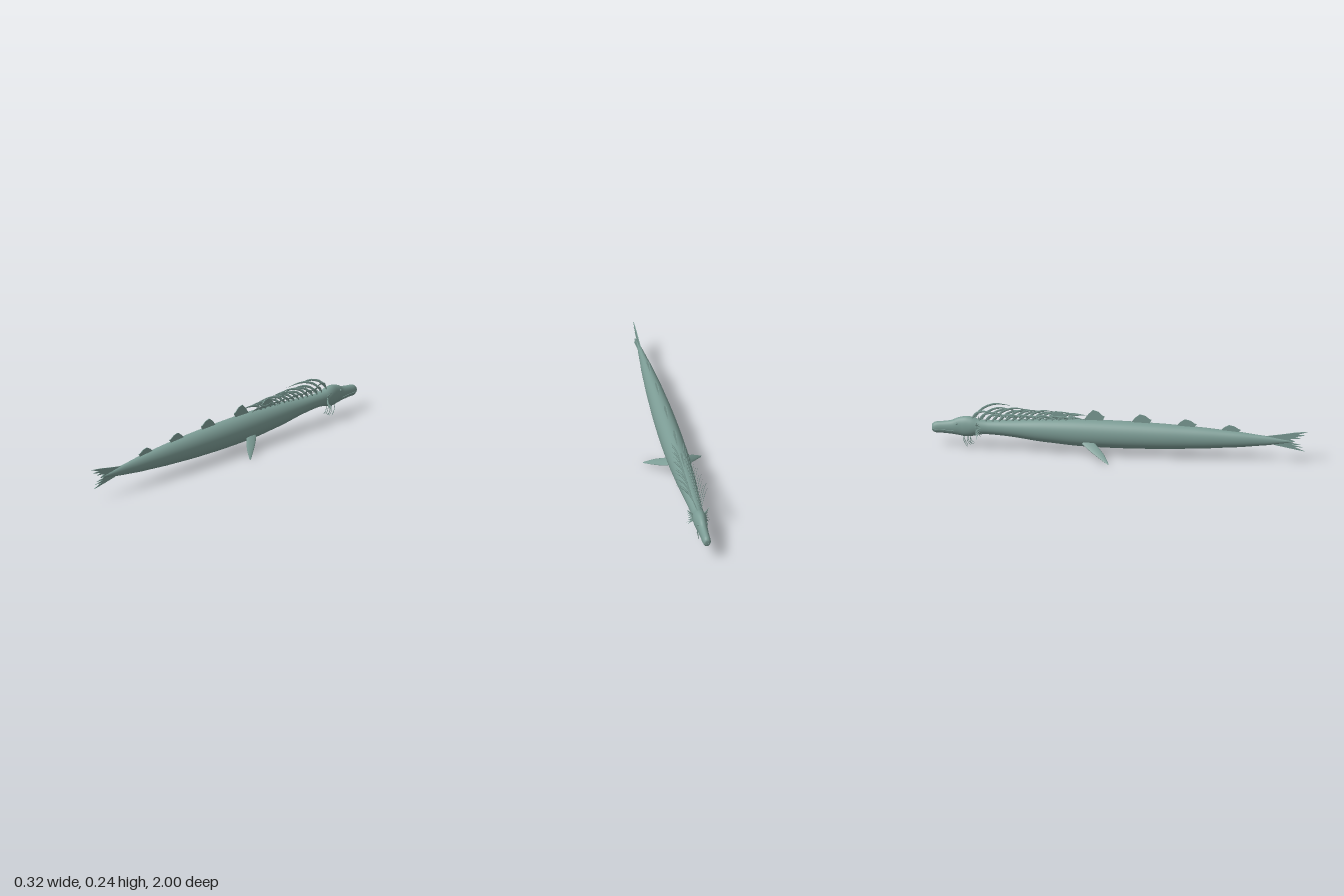
import * as THREE from 'three';

const V = (x, y, z) => new THREE.Vector3(x, y, z);
const skin = new THREE.MeshStandardMaterial({ color: 0x7c9c95, side: THREE.DoubleSide });
skin.name = 'grey green skin';

// Body profile: z, top y, bottom y, half width
const PROFILE = [
  [-1.0, 0.113, 0.111, 0.001], [-0.999, 0.128, 0.091, 0.015], [-0.985, 0.139, 0.081, 0.021],
  [-0.95, 0.144, 0.08, 0.022], [-0.9, 0.152, 0.077, 0.024], [-0.86, 0.17, 0.072, 0.028],
  [-0.82, 0.179, 0.066, 0.034], [-0.79, 0.176, 0.069, 0.036], [-0.75, 0.164, 0.08, 0.033],
  [-0.7, 0.161, 0.084, 0.033], [-0.6, 0.167, 0.079, 0.039], [-0.4, 0.182, 0.056, 0.051],
  [-0.2, 0.19, 0.042, 0.058], [0, 0.19, 0.041, 0.059], [0.2, 0.186, 0.046, 0.055],
  [0.4, 0.177, 0.057, 0.046], [0.6, 0.163, 0.073, 0.033], [0.77, 0.145, 0.092, 0.017],
  [0.88, 0.128, 0.11, 0.006], [0.93, 0.12, 0.118, 0.001],
];

function topAt(z) {
  const i = Math.max(1, PROFILE.findIndex((p) => p[0] >= z));
  const [a, b] = [PROFILE[i - 1], PROFILE[i]];
  return THREE.MathUtils.mapLinear(z, a[0], b[0], a[1], b[1]);
}

// Skins elliptical rings; each ring is [centre, axis a, axis b], advancing along a x b
function loft(rings, sides) {
  const pos = [], idx = [];
  rings.forEach(([c, a, b], i) => {
    for (let j = 0; j < sides; j++) {
      const t = (j / sides) * Math.PI * 2;
      const p = c.clone().addScaledVector(a, Math.cos(t)).addScaledVector(b, Math.sin(t));
      pos.push(p.x, p.y, p.z);
      if (i === 0) continue;
      const k = (j + 1) % sides, lo = (i - 1) * sides, hi = i * sides;
      idx.push(lo + j, lo + k, hi + j, lo + k, hi + k, hi + j);
    }
  });
  const g = new THREE.BufferGeometry();
  g.setAttribute('position', new THREE.Float32BufferAttribute(pos, 3));
  g.setIndex(idx);
  g.computeVertexNormals();
  return g;
}

// Thin upright blade in the z-y plane
function blade(points, depth) {
  const shape = new THREE.Shape(points.map(([z, y]) => new THREE.Vector2(z, y)));
  const g = new THREE.ExtrudeGeometry(shape, { depth, bevelEnabled: false });
  return g.translate(0, 0, -depth / 2).rotateY(-Math.PI / 2);
}

function strand(points, width, thick) {
  const curve = new THREE.CatmullRomCurve3(points);
  const rings = [];
  for (let i = 0; i <= 8; i++) {
    const t = i / 8, tan = curve.getTangent(t);
    const a = V(0, 1, -0.35).addScaledVector(tan, -V(0, 1, -0.35).dot(tan)).normalize();
    const b = tan.clone().cross(a);
    const w = Math.max(0.05, Math.sin(Math.PI * (0.2 + 0.8 * t)));
    rings.push([curve.getPoint(t), a.multiplyScalar(width * w), b.multiplyScalar(thick * w)]);
  }
  return loft(rings, 6);
}

export function createModel() {
  const model = new THREE.Group();
  const add = (name, geometry) => {
    const m = new THREE.Mesh(geometry, skin);
    m.name = name;
    model.add(m);
    return m;
  };

  // Body, neck and head in one smooth skin
  const rings = [];
  PROFILE.forEach((p, i) => {
    const q = PROFILE[i + 1] || p, before = PROFILE[i - 1] || p, after = PROFILE[i + 2] || q;
    const steps = q === p ? 1 : i < 2 ? 2 : 4;
    const slope = (l, m, r, k) => (r[0] === l[0] ? 0 : (r[k] - l[k]) / (r[0] - l[0]));
    for (let s = 0; s < steps; s++) {
      const t = s / steps, h = q[0] - p[0];
      const val = (k) => {
        if (i < 2 || q === p) return p[k] + (q[k] - p[k]) * t;
        const m0 = slope(before, p, q, k) * h, m1 = slope(p, q, after, k) * h;
        const t2 = t * t, t3 = t2 * t;
        return (2 * t3 - 3 * t2 + 1) * p[k] + (t3 - 2 * t2 + t) * m0 * 0.7
          + (3 * t2 - 2 * t3) * q[k] + (t3 - t2) * m1 * 0.7;
      };
      const top = val(1), low = val(2);
      rings.push([V(0, (top + low) / 2, p[0] + h * t), V(val(3), 0, 0), V(0, (top - low) / 2, 0)]);
    }
  });
  add('body', loft(rings, 40));

  // Row of dorsal fins
  [[-0.4, 0.047], [-0.2, 0.056], [0.05, 0.046], [0.29, 0.038], [0.525, 0.032]].forEach(([z, h]) => {
    const y = (dz) => topAt(z + dz);
    add('dorsalFin', blade([
      [z, y(0) - 0.012], [z + 0.03, y(0.03) + h * 0.55], [z + 0.055, y(0.05) + h],
      [z + 0.085, y(0.08) + h * 0.85], [z + 0.105, y(0.1) + h * 0.5], [z + 0.118, y(0.11) + h * 0.4],
      [z + 0.11, y(0.11) + 0.006], [z + 0.1, y(0.1) - 0.015],
    ], 0.004));
  });

  // Ragged forked tail fin
  add('tailFin', blade([
    [0.74, 0.118], [0.77, 0.143], [0.86, 0.158], [0.93, 0.171], [1.0, 0.179], [0.945, 0.16],
    [0.985, 0.158], [0.93, 0.146], [0.96, 0.139], [0.9, 0.133], [0.93, 0.121], [0.88, 0.118],
    [0.96, 0.104], [0.91, 0.103], [0.97, 0.09], [0.925, 0.091], [0.98, 0.068], [0.9, 0.082],
    [0.83, 0.095],
  ], 0.004));

  // Stations along a flipper: distance out, leading z, trailing z, half thickness
  const FLIPPER = [
    [-0.02, -0.2, -0.14, 0.006], [0.01, -0.195, -0.12, 0.006], [0.04, -0.165, -0.095, 0.005],
    [0.07, -0.13, -0.073, 0.004], [0.1, -0.092, -0.056, 0.003], [0.125, -0.06, -0.044, 0.0015],
    [0.135, -0.043, -0.041, 0.0005],
  ];
  for (const s of [1, -1]) {
    const side = s > 0 ? 'left' : 'right';
    const out = V(0.83 * s, -0.555, 0), normal = out.clone().cross(V(0, 0, 1));
    add(side + 'Flipper', loft(FLIPPER.map(([u, lead, trail, thick]) => [
      V(0.046 * s, 0.077, (lead + trail) / 2).addScaledVector(out, u),
      V(0, 0, (trail - lead) / 2), normal.clone().multiplyScalar(thick),
    ]), 12));

    // Mane strands sweeping up and back along the neck
    for (let i = 0; i < 15; i++) {
      const f = i / 14, z = -0.79 + 0.49 * f + (s > 0 ? 0.012 : 0);
      const y = topAt(z), wob = 1 + 0.12 * Math.sin(i * 2.4 + s);
      const rise = (0.056 - 0.037 * f) * wob, len = (0.17 - 0.06 * f) * wob;
      const w = (0.072 - 0.047 * f) * wob;
      add(side + 'ManeStrand', strand([
        V(0.007 * s, y - 0.01, z), V(s * (0.01 + w * 0.2), y + rise * 0.65, z + len * 0.2),
        V(s * (0.01 + w * 0.55), y + rise, z + len * 0.55), V(s * (0.008 + w), y + rise * 0.7, z + len),
      ], 0.0065, 0.0014));
    }

    // Spiny frill behind the cheek
    for (let i = 0; i < 9; i++) {
      const a = -1.45 + (i / 8) * 2.9;
      const spike = new THREE.ConeGeometry(0.005, 0.046, 5).translate(0, 0.02, 0);
      const m = add(side + 'FrillSpike', spike);
      m.position.set(0.031 * s, 0.12 + 0.018 * Math.sin(a), -0.762);
      m.quaternion.setFromUnitVectors(V(0, 1, 0), V(0.6 * s, 0.55 * Math.sin(a), 0.75 * Math.cos(a)).normalize());
    }

    // Chin whiskers
    [-0.825, -0.805, -0.79].forEach((z, i) => {
      const path = new THREE.CatmullRomCurve3([
        V(0.012 * s, 0.08, z), V(0.014 * s, 0.055, z - 0.006),
        V(0.013 * s, 0.035, z), V(0.012 * s, 0.012 + 0.008 * i, z + 0.014),
      ]);
      add(side + 'Whisker', new THREE.TubeGeometry(path, 10, 0.0016, 5));
    });

    // Small eye under the brow
    const eye = add(side + 'Eye', new THREE.SphereGeometry(0.006, 12, 8));
    eye.position.set(0.023 * s, 0.142, -0.868);
  }

  // Lip line around the snout
  const lip = new THREE.CatmullRomCurve3([
    V(0.025, 0.1, -0.88), V(0.022, 0.103, -0.93), V(0.02, 0.104, -0.984), V(0.012, 0.104, -0.997),
    V(-0.012, 0.104, -0.997), V(-0.02, 0.104, -0.984), V(-0.022, 0.103, -0.93), V(-0.025, 0.1, -0.88),
  ]);
  add('lips', new THREE.TubeGeometry(lip, 40, 0.0018, 6));

  return model;
}
